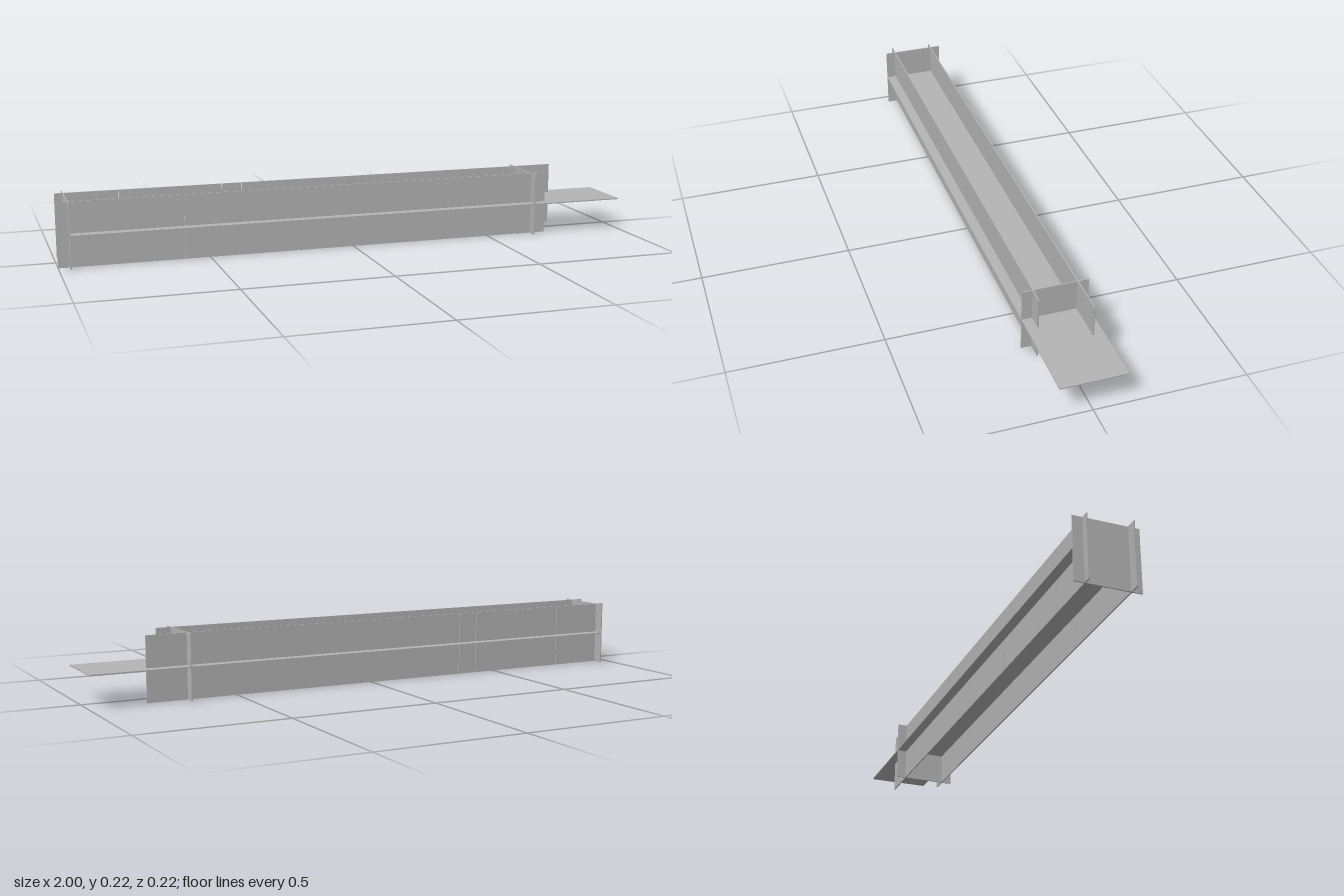
import * as THREE from 'three';

const T = 0.004;      // sheet thickness
const H = 0.217;      // section height and width
const GAP = 0.002;    // seam between neighbouring panels

export function createModel() {
  const group = new THREE.Group();
  const sheetGrey = new THREE.MeshStandardMaterial({ color: 0xb4b4b4 });
  sheetGrey.name = 'sheetGrey';

  const addSheet = (name, size, position) => {
    const mesh = new THREE.Mesh(new THREE.BoxGeometry(...size), sheetGrey);
    mesh.name = name;
    mesh.position.set(...position);
    group.add(mesh);
  };

  // Long side walls, each a row of panels butted end to end
  const addWall = (name, z, seams) => {
    for (let i = 0; i < seams.length - 1; i++) {
      const start = seams[i] + (i > 0 ? GAP / 2 : 0);
      const end = seams[i + 1] - (i < seams.length - 2 ? GAP / 2 : 0);
      addSheet(`${name}Panel${i + 1}`, [end - start, H, T], [(start + end) / 2, H / 2, z]);
    }
  };
  addWall('frontWall', 0.073, [-1, -0.585, 0.721]);
  addWall('backWall', -0.073, [-0.989, -0.777, -0.425, -0.355, 0.807]);

  // Horizontal shelf running through the middle and out past one end
  addSheet('middleShelf', [1.962, T, H], [0.019, H / 2 + 0.0015, 0]);

  // Square cross plates slotted through both walls
  for (const [name, x] of [['rightCrossPlate', -0.961], ['leftCrossPlate', 0.668]]) {
    addSheet(name, [T, H, H], [x, H / 2, 0]);
  }

  return group;
}
